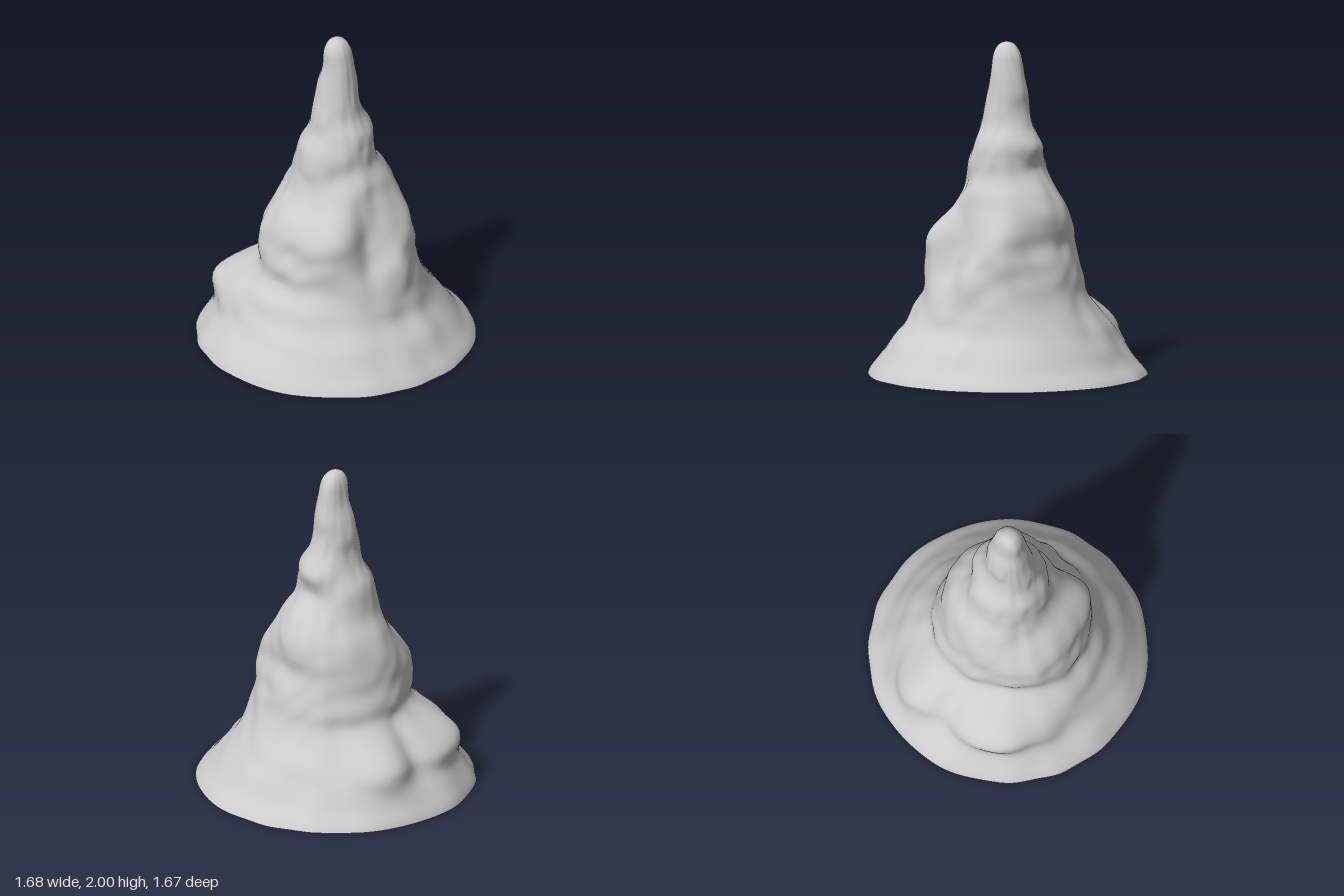
import * as THREE from 'three';
import { mergeVertices } from 'three/addons/utils/BufferGeometryUtils.js';

const TAU = Math.PI * 2;

// Radius every 0.1 in height, towards +x, +z, -x and -z
const PROFILES = [
  [.835, .76, .68, .585, .55, .52, .48, .425, .37, .34, .32, .30, .25, .235, .215, .16, .14, .125, .112, .095, .08],
  [.83, .765, .675, .61, .565, .49, .48, .45, .435, .38, .29, .25, .235, .22, .17, .155, .13, .11, .085, .08, .07],
  [.84, .78, .71, .65, .56, .465, .45, .42, .405, .38, .34, .28, .25, .22, .16, .13, .13, .11, .075, .062, .055],
  [.84, .74, .67, .60, .53, .48, .45, .42, .38, .385, .375, .32, .25, .225, .225, .17, .14, .137, .12, .10, .08],
];

// Lumps and hollows: [azimuth in degrees from +x to +z, height, angular width, height width, amount]
const LUMPS = [
  // ledge, the valley beside it and the bulge behind
  [142, .33, 24, .12, .13], [108, .28, 16, .10, .015], [145, .55, 25, .07, -.035],
  [175, .30, 9, .16, -.06], [195, .31, 14, .14, .085],
  // front right ridge, its foot, the hollow and the back right lobe
  [40, .82, 20, .17, .095], [45, .25, 30, .09, .02], [8, .66, 12, .18, -.045],
  [-12, .62, 12, .10, .035], [-33, .82, 22, .17, .10],
  // knobs and dents of the column
  [118, .72, 13, .10, .025], [128, .95, 15, .09, -.015], [-120, .80, 20, .12, .02],
  [-95, 1.25, 25, .05, -.02], [-100, 1.36, 22, .05, .015],
  [205, 1.25, 22, .08, .01], [38, 1.14, 20, .07, -.02], [75, 1.20, 18, .08, .01],
];

// Catmull-Rom reading of one profile
function sample(list, y) {
  const u = Math.min(y * 10, 19.999), i = Math.floor(u), t = u - i;
  const at = k => list[Math.max(0, Math.min(20, k))];
  const [a, b, c, d] = [at(i - 1), at(i), at(i + 1), at(i + 2)];
  return b + .5 * t * (c - a + t * (2 * a - 5 * b + 4 * c - d + t * (3 * (b - c) + d - a)));
}

function outerRadius(angle, y) {
  const q = ((angle / TAU % 1 + 1) % 1) * 4, i = Math.floor(q) % 4, t = q - Math.floor(q);
  const s = t * t * (3 - 2 * t);
  let r = sample(PROFILES[i], y) * (1 - s) + sample(PROFILES[(i + 1) % 4], y) * s;
  for (const [deg, h, wa, wy, amount] of LUMPS) {
    const da = ((angle * 360 / TAU - deg + 540) % 360 + 360) % 360 - 180;
    r += amount * Math.exp(-((da / wa) ** 2) - ((y - h) / wy) ** 2);
  }
  // blotchy unevenness
  const wave = Math.sin(5 * angle + 2 * Math.sin(5 * y)) * Math.sin(14 * y + 1.6 * Math.sin(3 * angle))
    + .5 * Math.sin(9 * angle + 2 * Math.sin(8 * y + 1)) * Math.sin(25 * y + 2 * Math.sin(4 * angle + 1));
  r *= 1 + .014 * wave * Math.min(1, .15 + y * 3) + .005 * Math.sin(13 * angle + 2 * Math.sin(3 * angle));
  // rounded tip
  const k = Math.max(0, (y - 1.88) / .12);
  return r * Math.sqrt(Math.max(0, 1 - k ** 3));
}

// Cavity following the outside at a constant wall thickness
const CAVITY_TOP = 1.8;
function innerRadius(angle, y) {
  const k = Math.max(0, (y - 1.65) / (CAVITY_TOP - 1.65));
  return Math.max(.012, outerRadius(angle, y) - .065) * Math.sqrt(Math.max(0, 1 - k * k));
}

// Closed loops of points joined row by row; point(angle, v) gives a position
function loft(point, rows, sides) {
  const positions = [], index = [];
  for (let j = 0; j <= rows; j++) {
    for (let i = 0; i < sides; i++) positions.push(...point(i / sides * TAU, j / rows));
  }
  for (let j = 0; j < rows; j++) {
    for (let i = 0; i < sides; i++) {
      const n = (i + 1) % sides, a = j * sides + i, b = j * sides + n;
      const c = a + sides, d = b + sides;
      index.push(a, c, b, b, c, d);
    }
  }
  let g = new THREE.BufferGeometry();
  g.setAttribute('position', new THREE.Float32BufferAttribute(positions, 3));
  g.setIndex(index);
  g = mergeVertices(g, 1e-5);
  g.computeVertexNormals();
  return g;
}

const ring = (r, angle, y) => [r * Math.cos(angle), y, r * Math.sin(angle)];

export function createModel() {
  const group = new THREE.Group();
  group.name = 'stalagmite';
  const material = new THREE.MeshStandardMaterial({ color: 0xcccccc });
  const add = (name, geometry) => {
    const mesh = new THREE.Mesh(geometry, material);
    mesh.name = name;
    group.add(mesh);
  };

  // rows crowd together at the top so the tip stays round
  const rise = v => Math.sin(v * Math.PI / 2) * .35 + v * .65;

  add('rockSurface', loft((a, v) => {
    const y = 2 * rise(v);
    return ring(v === 1 ? 0 : outerRadius(a, y), a, y);
  }, 140, 128));

  add('cavityWall', loft((a, v) => {
    const y = CAVITY_TOP * rise(1 - v);
    return ring(v === 0 ? 0 : innerRadius(a, y), a, y);
  }, 70, 128));

  add('bottomRim', loft((a, v) =>
    ring(v ? outerRadius(a, 0) : innerRadius(a, 0), a, 0), 1, 128));

  return group;
}
